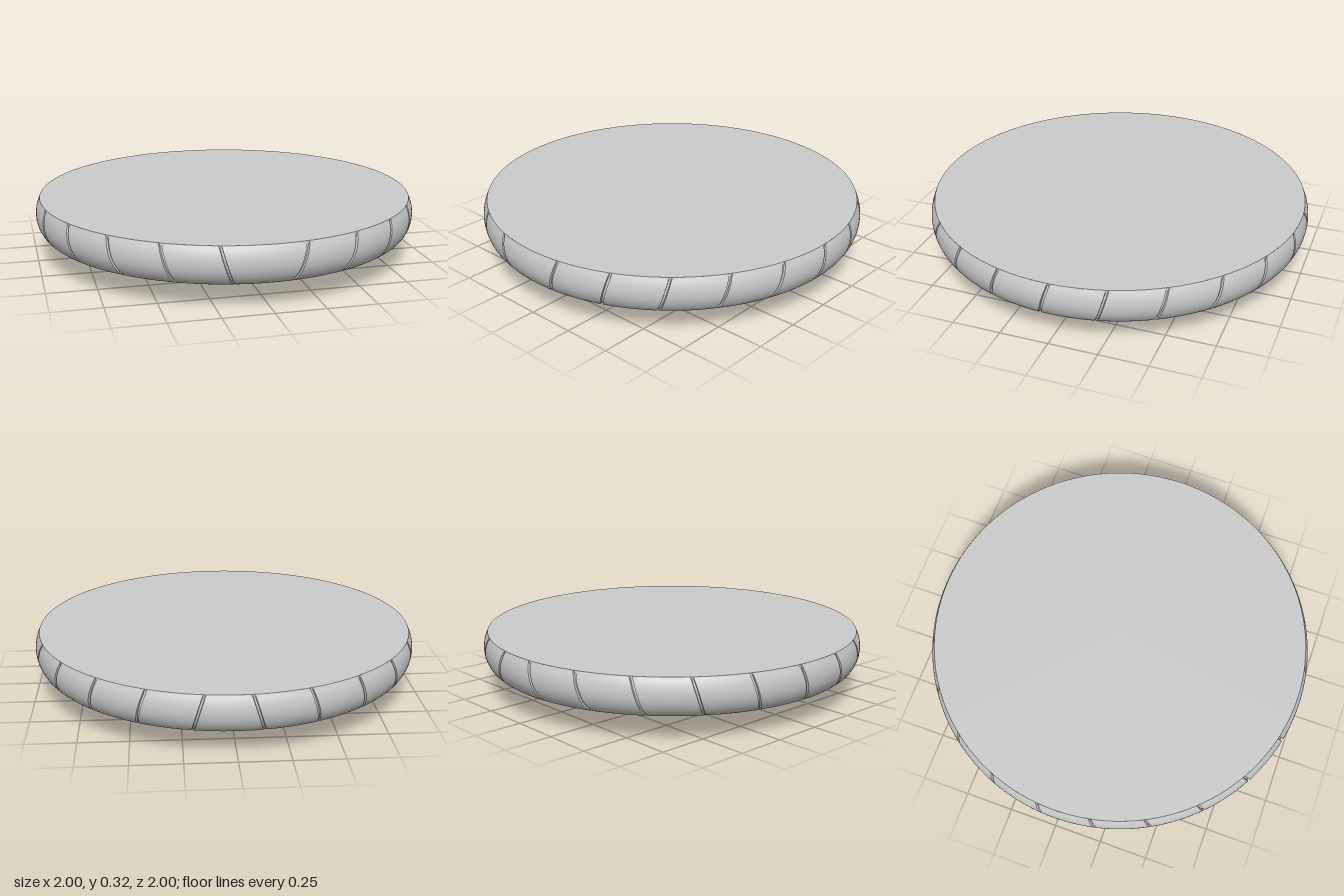
import * as THREE from 'three';
import { toCreasedNormals } from 'three/addons/utils/BufferGeometryUtils.js';

const material = new THREE.MeshStandardMaterial({ color: 0xcccccc });
const TOP = 0.325, TOP_R = 0.978, EDGE_Y = 0.117, EDGE_R = 0.905;

// Eleven slanted grooves per side, leaning in mirrored directions (degrees from the front)
function grooveAngles() {
  const right = [], left = [];
  for (let k = 0; k < 11; k++) {
    const step = 16.15 * k;
    right.push({ top: 9.7 + step, bottom: 4.9 + step });
    left.unshift({ top: 345.4 - step, bottom: 350.2 - step });
  }
  return [...right, ...left];
}

// Columns around the rim: four across each groove, several across each panel
function rimColumns() {
  const columns = [], grooves = grooveAngles();
  const half = 0.42, panelSteps = 10;
  grooves.forEach((g, i) => {
    const last = i === grooves.length - 1;
    const n = grooves[(i + 1) % grooves.length], turn = last ? 360 : 0;
    for (const [offset, cut] of [[-half, 0], [-half + 0.12, 1], [half - 0.12, 1], [half, 0]])
      columns.push({ top: g.top + offset, bottom: g.bottom + offset, cut });
    for (let s = 1; s < panelSteps; s++) {
      const t = s / panelSteps;
      columns.push({
        top: THREE.MathUtils.lerp(g.top + half, n.top + turn - half, t),
        bottom: THREE.MathUtils.lerp(g.bottom + half, n.bottom + turn - half, t),
        cut: 0,
      });
    }
  });
  return columns;
}

function rimGeometry() {
  const profile = new THREE.SplineCurve([
    [TOP_R, TOP], [0.994, 0.285], [1, 0.24], [0.993, 0.195],
    [0.972, 0.155], [0.943, 0.13], [EDGE_R, EDGE_Y],
  ].map(([r, y]) => new THREE.Vector2(r, y))).getPoints(24);
  const columns = rimColumns(), rows = profile.length, depth = 0.012;
  const positions = [], index = [];
  columns.forEach((c, i) => {
    const next = (i + 1) % columns.length;
    profile.forEach((p, j) => {
      const t = j / (rows - 1);
      const angle = THREE.MathUtils.degToRad(THREE.MathUtils.lerp(c.top, c.bottom, t));
      // Grooves fade out at both ends so the outline stays round
      const r = p.x - c.cut * depth * Math.min(1, 8 * t, 8 * (1 - t));
      positions.push(r * Math.sin(angle), p.y, r * Math.cos(angle));
      if (j < rows - 1) {
        const a = i * rows + j, d = next * rows + j;
        index.push(a, a + 1, d + 1, a, d + 1, d);
      }
    });
  });
  const geometry = new THREE.BufferGeometry();
  geometry.setAttribute('position', new THREE.Float32BufferAttribute(positions, 3));
  geometry.setIndex(index);
  return toCreasedNormals(geometry, 0.6);
}

export function createModel() {
  const group = new THREE.Group();
  group.name = 'groovedDisc';
  const add = (name, geometry) => {
    const mesh = new THREE.Mesh(geometry, material);
    mesh.name = name;
    group.add(mesh);
    return mesh;
  };

  // Rounded rim with slanted grooves
  add('rim', rimGeometry());

  // Flat top face
  const top = add('topFace', new THREE.CircleGeometry(TOP_R, 160));
  top.rotation.x = -Math.PI / 2;
  top.position.y = TOP;

  // Shallow domed underside
  const dome = [];
  for (let i = 0; i <= 24; i++) {
    const t = i / 24;
    dome.push(new THREE.Vector2(EDGE_R * t, EDGE_Y * t * t));
  }
  add('underside', new THREE.LatheGeometry(dome, 160));

  return group;
}
